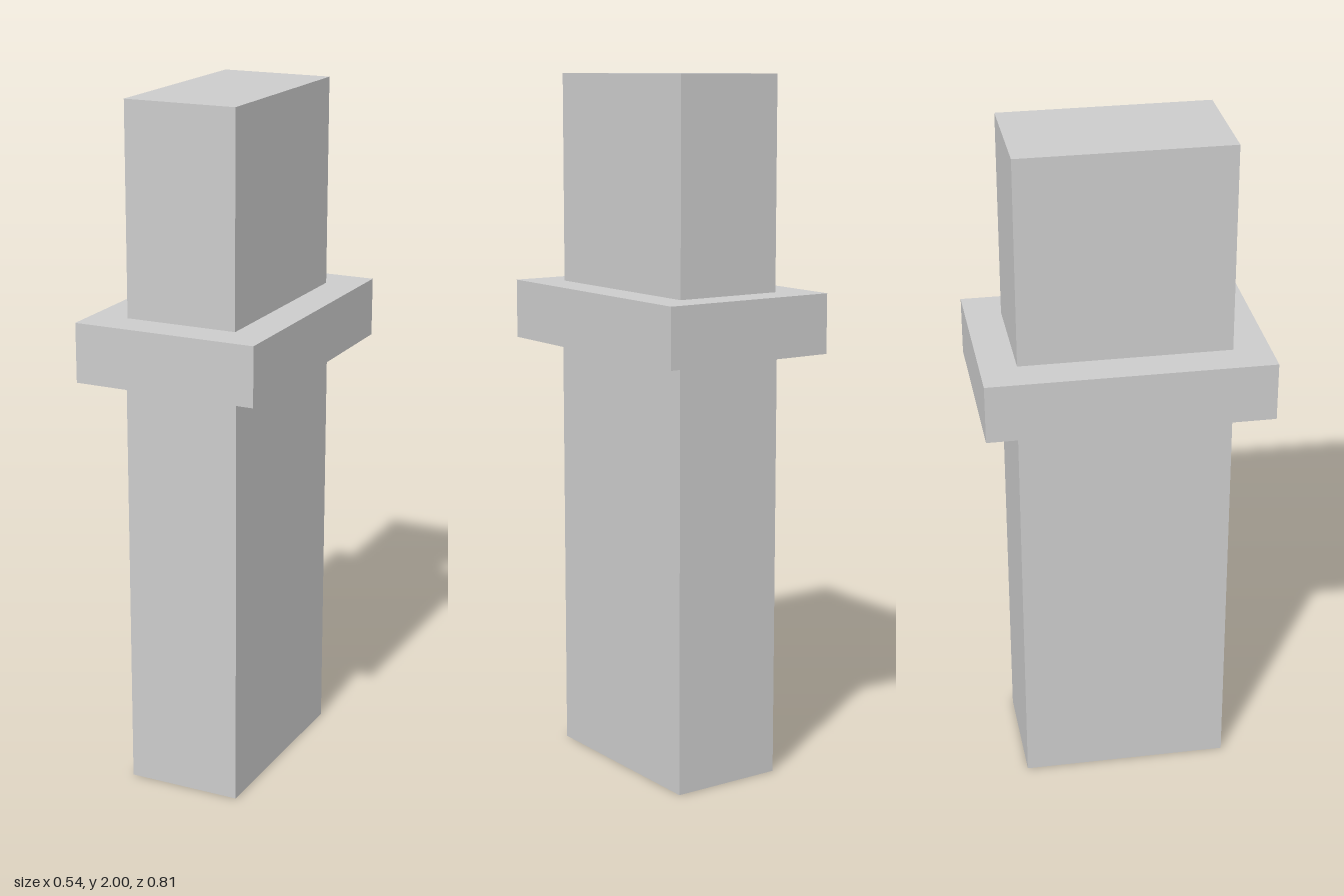
import * as THREE from 'three';

const material = new THREE.MeshStandardMaterial({ color: 0xcccccc, flatShading: true });

// Slight skew of the rectangular plan in x and z
const skew = new THREE.Matrix4().set(
  1, 0, -0.0115, 0,
  0, 1, 0, 0,
  -0.0085, 0, 1, 0,
  0, 0, 0, 1
);

// Skewed block spanning bottom..top in y
function block(name, width, depth, bottom, top) {
  const geometry = new THREE.BoxGeometry(width, top - bottom, depth);
  geometry.translate(0, (bottom + top) / 2, 0);
  geometry.applyMatrix4(skew);
  const mesh = new THREE.Mesh(geometry, material);
  mesh.name = name;
  return mesh;
}

export function createModel() {
  const model = new THREE.Group();
  model.name = 'collaredPost';
  model.add(
    block('lowerPost', 0.335, 0.604, 0, 1.23),
    block('collar', 0.533, 0.803, 1.23, 1.4),
    block('upperPost', 0.326, 0.597, 1.4, 2)
  );
  return model;
}
